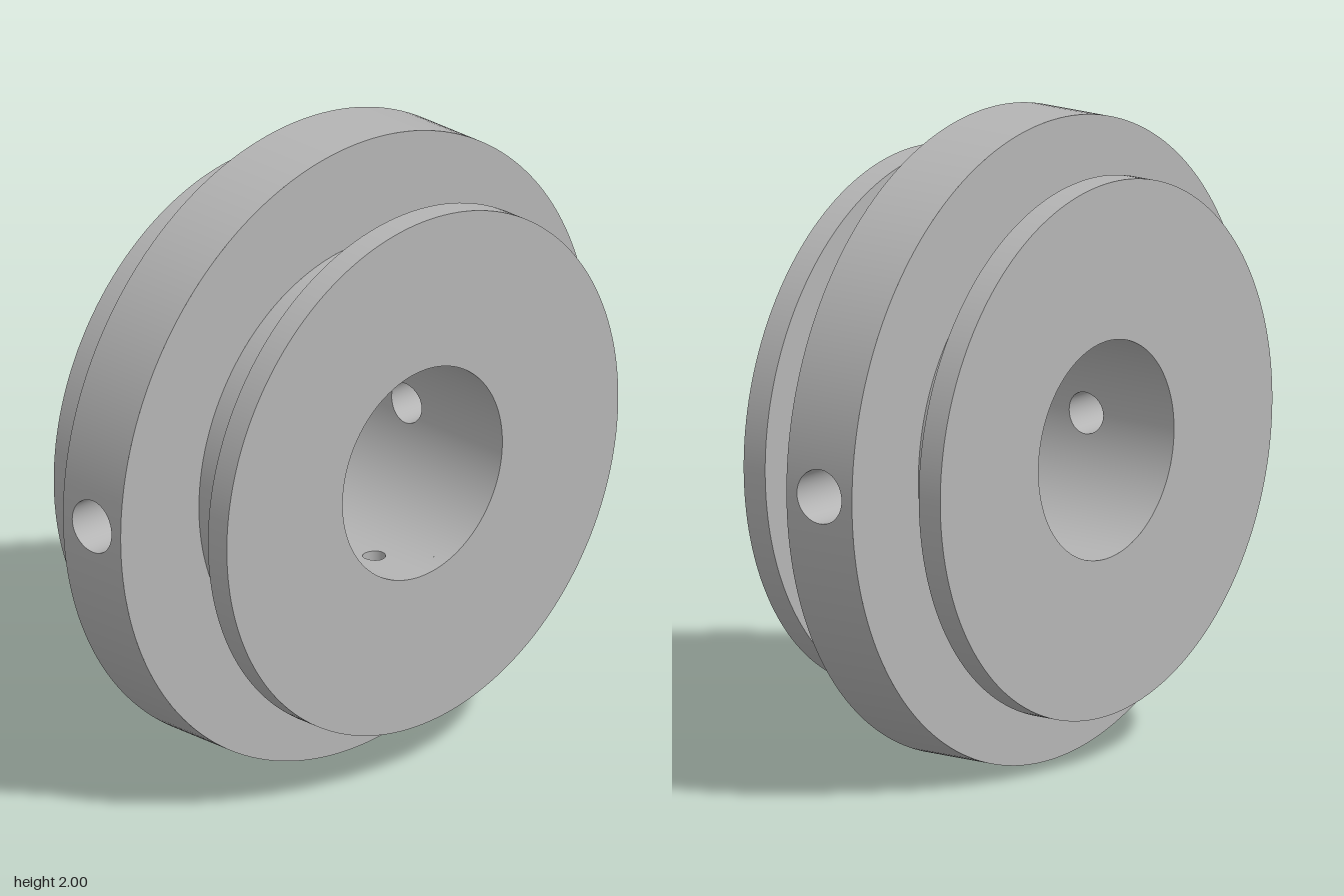
import * as THREE from 'three';
import { mergeGeometries, mergeVertices } from 'three/addons/utils/BufferGeometryUtils.js';

const PI = Math.PI;
const CENTRE = 1; // height of the wheel axis, which runs along z
const BORE = 0.34, GROOVE = 0.667, FLANGE = 0.833, RIM = 1;
const Z = [-0.375, -0.293, -0.165, 0.085, 0.293, 0.375]; // steps from back to front
const CROSS = { z: -0.04, inner: 0.065, outer: 0.085, step: 0.6 }; // stepped holes along x
const PIN = { z: 0.165, r: 0.035 }; // small holes along y

// Grid surface; point(u, v) gives [x, y, z] for u and v from 0 to 1
function grid(nu, nv, point, flip) {
  const pos = [], index = [];
  for (let i = 0; i <= nu; i++)
    for (let j = 0; j <= nv; j++) pos.push(...point(i / nu, j / nv));
  for (let i = 0; i < nu; i++)
    for (let j = 0; j < nv; j++) {
      const a = i * (nv + 1) + j, b = a + nv + 1;
      if (flip) index.push(a, a + 1, b, b, a + 1, b + 1);
      else index.push(a, b, a + 1, b, b + 1, a + 1);
    }
  const g = new THREE.BufferGeometry();
  g.setAttribute('position', new THREE.Float32BufferAttribute(pos, 3));
  g.setIndex(index);
  return g;
}

const lerp = THREE.MathUtils.lerp;
const onWheel = (R, t, z) => [R * Math.cos(t), CENTRE + R * Math.sin(t), z];

// Point on the outline of a square from -1 to 1, counter-clockwise
function square(u) {
  const s = (u % 1) * 4, k = Math.floor(s), f = (s - k) * 2 - 1;
  return [[1, f], [-f, 1], [-1, -f], [f, -1]][k];
}

// Cylindrical wall with round radial holes, each set in its own window
function wall(R, z0, z1, holes = [], inward = false) {
  const W = 0.3, parts = [];
  const span = (t0, t1) => parts.push(grid(Math.ceil((t1 - t0) * 28), 1,
    (u, v) => onWheel(R, lerp(t0, t1, u), lerp(z0, z1, v)), inward));
  if (!holes.length) span(0, 2 * PI);
  holes.forEach((h, i) => {
    const next = holes[i + 1] ? holes[i + 1].angle : holes[0].angle + 2 * PI;
    span(h.angle + W, next - W);
    parts.push(grid(64, 8, (u, v) => {
      const [sx, sy] = square(u), a = Math.atan2(sy, sx);
      const t = lerp(Math.asin(h.r * Math.cos(a) / R), sx * W, v);
      const z = lerp(h.z + h.r * Math.sin(a), sy > 0 ? lerp(h.z, z1, sy) : lerp(h.z, z0, -sy), v);
      return onWheel(R, h.angle + t, z);
    }, !inward));
  });
  const g = mergeGeometries(parts), p = g.attributes.position, normals = [];
  const s = inward ? -1 : 1;
  for (let i = 0; i < p.count; i++)
    normals.push(s * p.getX(i) / R, s * (p.getY(i) - CENTRE) / R, 0);
  g.setAttribute('normal', new THREE.Float32BufferAttribute(normals, 3));
  return g;
}

// Inside of a radial hole; start and end give the distance from the axis for an offset
function holeLining(angle, z, r0, r1, start, end) {
  const g = mergeVertices(grid(64, 1, (u, v) => {
    const a = Math.atan2(...square(u).reverse()), r = lerp(r0, r1, v);
    const side = r * Math.cos(a), d = lerp(start(side), end(side), v);
    return [d * Math.cos(angle) - side * Math.sin(angle),
      CENTRE + d * Math.sin(angle) + side * Math.cos(angle), z + r * Math.sin(a)];
  }, true));
  g.computeVertexNormals();
  return g;
}
const cylinder = R => side => Math.sqrt(R * R - side * side);
const plane = d => () => d;

export function createModel() {
  const group = new THREE.Group();
  group.name = 'flangedWheel';
  const metal = new THREE.MeshStandardMaterial({ color: 0xb4b4b4 });
  metal.name = 'grey metal';
  const add = (name, geometry) => {
    const mesh = new THREE.Mesh(geometry, metal);
    mesh.name = name;
    group.add(mesh);
  };

  const crossHoles = r => [0, PI].map(angle => ({ angle, z: CROSS.z, r }));
  const pinHoles = [PI / 2, PI * 1.5].map(angle => ({ angle, z: PIN.z, r: PIN.r }));
  const boreHoles = [...crossHoles(CROSS.inner), ...pinHoles].sort((a, b) => a.angle - b.angle);

  // Round walls
  add('backFlangeEdge', wall(FLANGE, Z[0], Z[1]));
  add('backGroove', wall(GROOVE, Z[1], Z[2]));
  add('rim', wall(RIM, Z[2], Z[3], crossHoles(CROSS.outer)));
  add('frontGroove', wall(GROOVE, Z[3], Z[4], pinHoles));
  add('frontFlangeEdge', wall(FLANGE, Z[4], Z[5]));
  add('bore', wall(BORE, Z[0], Z[5], boreHoles, true));

  // Flat faces between the walls
  const face = (name, inner, outer, z, front) => {
    const g = new THREE.RingGeometry(inner, outer, 176);
    if (!front) g.rotateY(PI);
    add(name, g.translate(0, CENTRE, z));
  };
  face('backFace', BORE, FLANGE, Z[0], false);
  face('backFlangeInside', GROOVE, FLANGE, Z[1], true);
  face('rimBack', GROOVE, RIM, Z[2], false);
  face('rimFront', GROOVE, RIM, Z[3], true);
  face('frontFlangeInside', GROOVE, FLANGE, Z[4], false);
  face('frontFace', BORE, FLANGE, Z[5], true);

  // Stepped cross holes through the rim
  for (const { angle } of crossHoles(0)) {
    const { z, inner, outer, step } = CROSS;
    add('crossHoleInner', holeLining(angle, z, inner, inner, cylinder(BORE), plane(step)));
    add('crossHoleStep', holeLining(angle, z, inner, outer, plane(step), plane(step)));
    add('crossHoleOuter', holeLining(angle, z, outer, outer, plane(step), cylinder(RIM)));
  }
  // Pin holes through the front groove
  for (const { angle } of pinHoles)
    add('pinHole', holeLining(angle, PIN.z, PIN.r, PIN.r, cylinder(BORE), cylinder(GROOVE)));

  return group;
}
